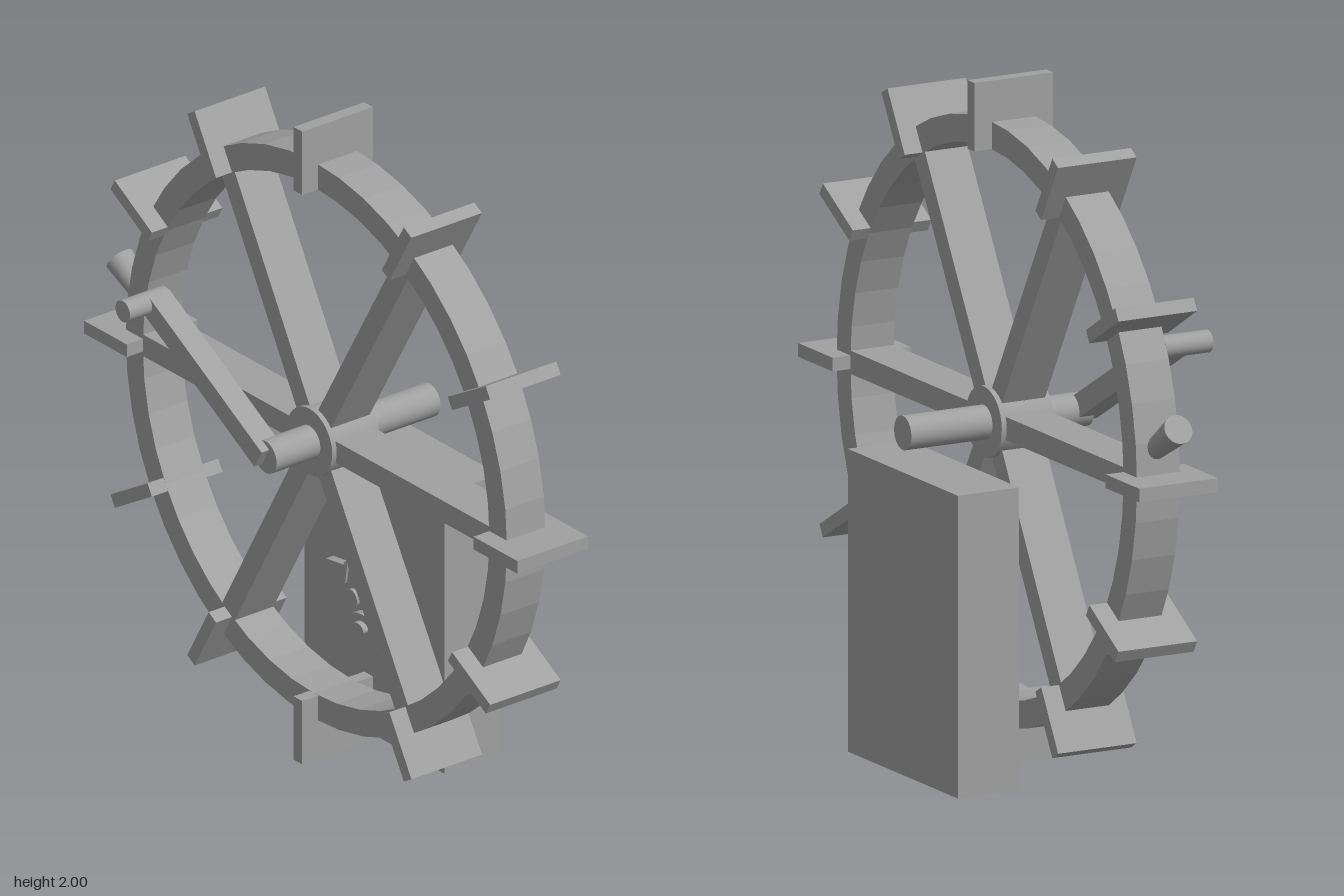
import * as THREE from 'three';

const AXLE_Y = 1;

export function createModel() {
  const model = new THREE.Group();
  const grey = new THREE.MeshStandardMaterial({ color: 0xa0a0a0 });
  grey.name = 'plain grey';

  const add = (name, geometry, parent = model) => {
    const mesh = new THREE.Mesh(geometry, grey);
    mesh.name = name;
    parent.add(mesh);
    return mesh;
  };

  // The left half of the wheel is very slightly narrower than the right half
  const narrowLeft = (geometry) => {
    const p = geometry.attributes.position;
    for (let i = 0; i < p.count; i++) if (p.getX(i) < 0) p.setX(i, p.getX(i) * 0.974);
    return geometry;
  };

  // Cylinder lying along z between two depths
  const rod = (radius, z0, z1, segments = 32) =>
    new THREE.CylinderGeometry(radius, radius, z1 - z0, segments)
      .rotateX(Math.PI / 2).translate(0, 0, (z0 + z1) / 2);

  // Box running outwards along a radius
  const radialBox = (r0, r1, thickness, depth, angle) =>
    narrowLeft(new THREE.BoxGeometry(r1 - r0, thickness, depth)
      .translate((r0 + r1) / 2, 0, 0).rotateZ(angle));

  // Wheel: rim, spokes, paddles and hub
  const wheel = new THREE.Group();
  wheel.name = 'wheel';
  wheel.position.y = AXLE_Y;
  model.add(wheel);

  const ring = new THREE.Shape().absarc(0, 0, 0.88, 0, Math.PI * 2);
  ring.holes.push(new THREE.Path().absarc(0, 0, 0.8, 0, Math.PI * 2, true));
  const rim = new THREE.ExtrudeGeometry(ring, { depth: 0.14, bevelEnabled: false, curveSegments: 24 });
  add('rim', narrowLeft(rim.translate(0, 0, -0.07)), wheel);

  for (let i = 0; i < 12; i++) {
    const angle = i * Math.PI / 6;
    add('paddle', radialBox(0.8, 1, 0.04, 0.256, angle), wheel);
    if (i % 2 === 0) add('spoke', radialBox(0.09, 0.81, 0.068, 0.14, angle), wheel);
  }
  add('hub', rod(0.104, -0.086, 0.086), wheel);
  add('axle', rod(0.05, -0.35, 0.245), wheel);

  // Tapered peg on the left of the rim
  const peg = add('rimPeg', new THREE.CylinderGeometry(0.044, 0.028, 0.19, 24), wheel);
  peg.position.set(-0.892, 0.126, 0);
  peg.rotation.z = Math.PI * 0.318;

  // Crank arm and its handle
  const crank = new THREE.Group();
  crank.name = 'crank';
  crank.position.y = AXLE_Y;
  model.add(crank);
  const tip = new THREE.Vector2(-0.515, 0.295);
  const arm = new THREE.BoxGeometry(tip.length(), 0.066, 0.075)
    .translate(tip.length() / 2, 0, 0).rotateZ(tip.angle()).translate(0, 0, 0.235);
  add('crankArm', arm, crank);
  add('crankHandle', rod(0.033, 0.2, 0.353, 24).translate(tip.x, tip.y, 0), crank);

  // Upright block behind the wheel
  add('block', new THREE.BoxGeometry(0.636, 0.885, 0.2)).position.set(0, 0.4425, -0.25);

  // Animal face in relief on the block
  const face = new THREE.Group();
  face.name = 'animalFace';
  model.add(face);
  const disc = (name, x, y, rx, ry, z1) =>
    add(name, rod(1, -0.155, z1, 40).scale(rx, ry, 1).translate(x, y, 0), face);
  disc('head', 0, 0.387, 0.172, 0.162, -0.13);
  disc('muzzle', 0, 0.33, 0.081, 0.064, -0.105);
  disc('nose', 0, 0.355, 0.028, 0.018, -0.087);
  for (const side of [-1, 1]) {
    disc('eye', side * 0.067, 0.416, 0.027, 0.027, -0.118);
    const points = [[0.09, 0.515], [0.11, 0.505], [0.187, 0.495], [0.19, 0.42], [0.1, 0.45]];
    const ear = new THREE.Shape(points.map(([x, y]) => new THREE.Vector2(side * x, y)));
    add('ear', new THREE.ExtrudeGeometry(ear, { depth: 0.032, bevelEnabled: false })
      .translate(0, 0, -0.155), face);
  }

  return model;
}
